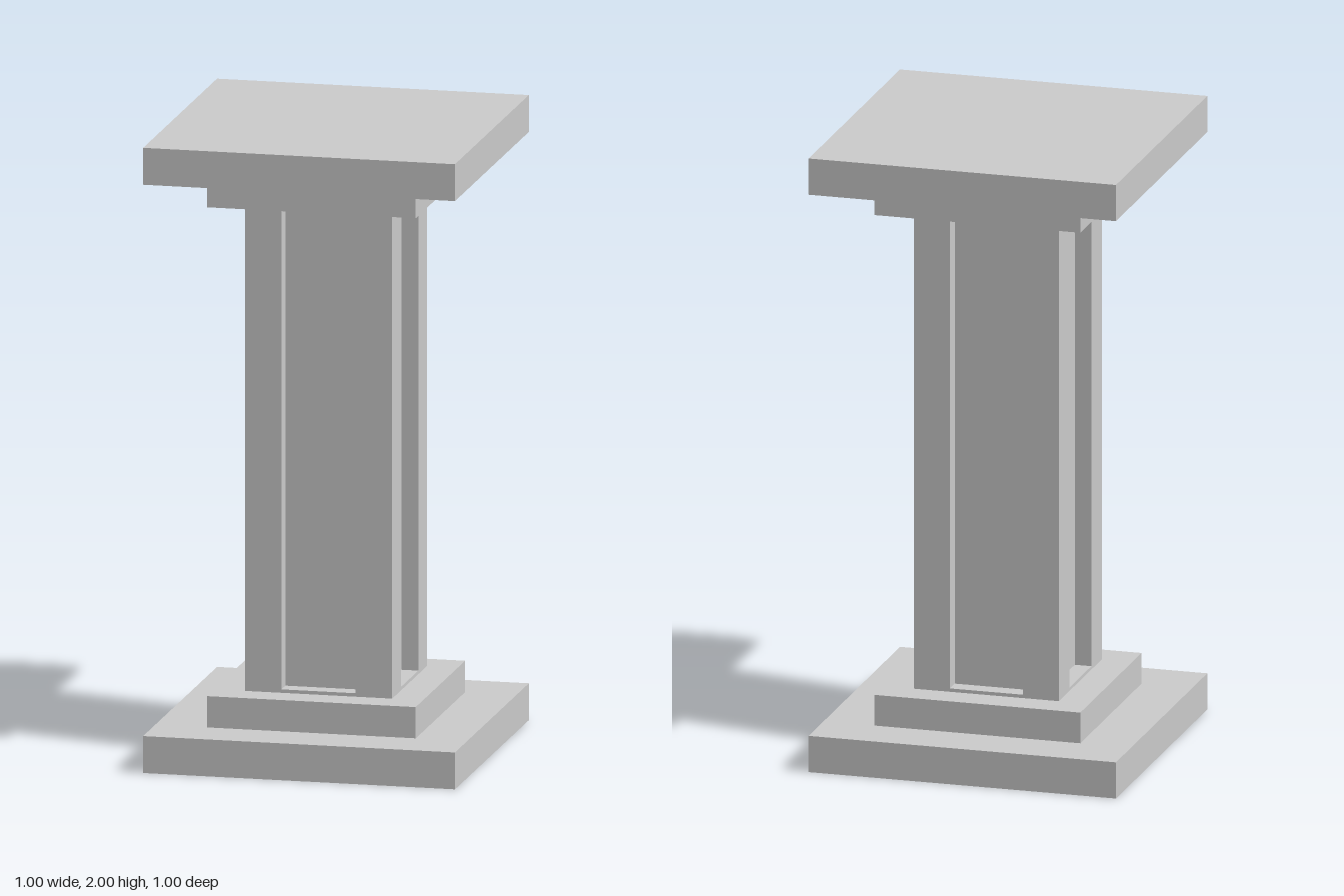
import * as THREE from 'three';

const material = new THREE.MeshStandardMaterial({ color: 0xcccccc, flatShading: true });

// Square slab spanning y0..y1
function slab(name, width, y0, y1) {
  const mesh = new THREE.Mesh(new THREE.BoxGeometry(width, y1 - y0, width), material);
  mesh.name = name;
  mesh.position.y = (y0 + y1) / 2;
  return mesh;
}

// Square section with a shallow notch in the middle of each side
function notchedSection(half, notchHalf, depth) {
  const points = [];
  for (let k = 0; k < 4; k++) {
    const side = [
      [half, -half], [half, -notchHalf], [half - depth, -notchHalf],
      [half - depth, notchHalf], [half, notchHalf],
    ];
    for (const [x, y] of side) {
      points.push(new THREE.Vector2(x, y).rotateAround(new THREE.Vector2(), k * Math.PI / 2));
    }
  }
  return new THREE.Shape(points);
}

export function createModel() {
  const group = new THREE.Group();
  group.name = 'pillar';

  const half = 0.236;
  const plinthTop = 0.118, stepTop = 0.218, panelBottom = 0.229;

  // Stepped base and mirrored capital, each with a thin collar closing the panels
  group.add(
    slab('basePlinth', 1, 0, plinthTop),
    slab('baseStep', 0.67, plinthTop, stepTop),
    slab('lowerCollar', half * 2, stepTop, panelBottom),
    slab('upperCollar', half * 2, 2 - panelBottom, 2 - stepTop),
    slab('capitalStep', 0.67, 2 - stepTop, 2 - plinthTop),
    slab('capitalSlab', 1, 2 - plinthTop, 2),
  );

  // Shaft with a recessed panel on every face
  const shaftGeometry = new THREE.ExtrudeGeometry(notchedSection(half, 0.119, 0.054), {
    depth: 2 - 2 * panelBottom,
    bevelEnabled: false,
  });
  shaftGeometry.rotateX(-Math.PI / 2);
  const shaft = new THREE.Mesh(shaftGeometry, material);
  shaft.name = 'panelledShaft';
  shaft.position.y = panelBottom;
  group.add(shaft);

  return group;
}
